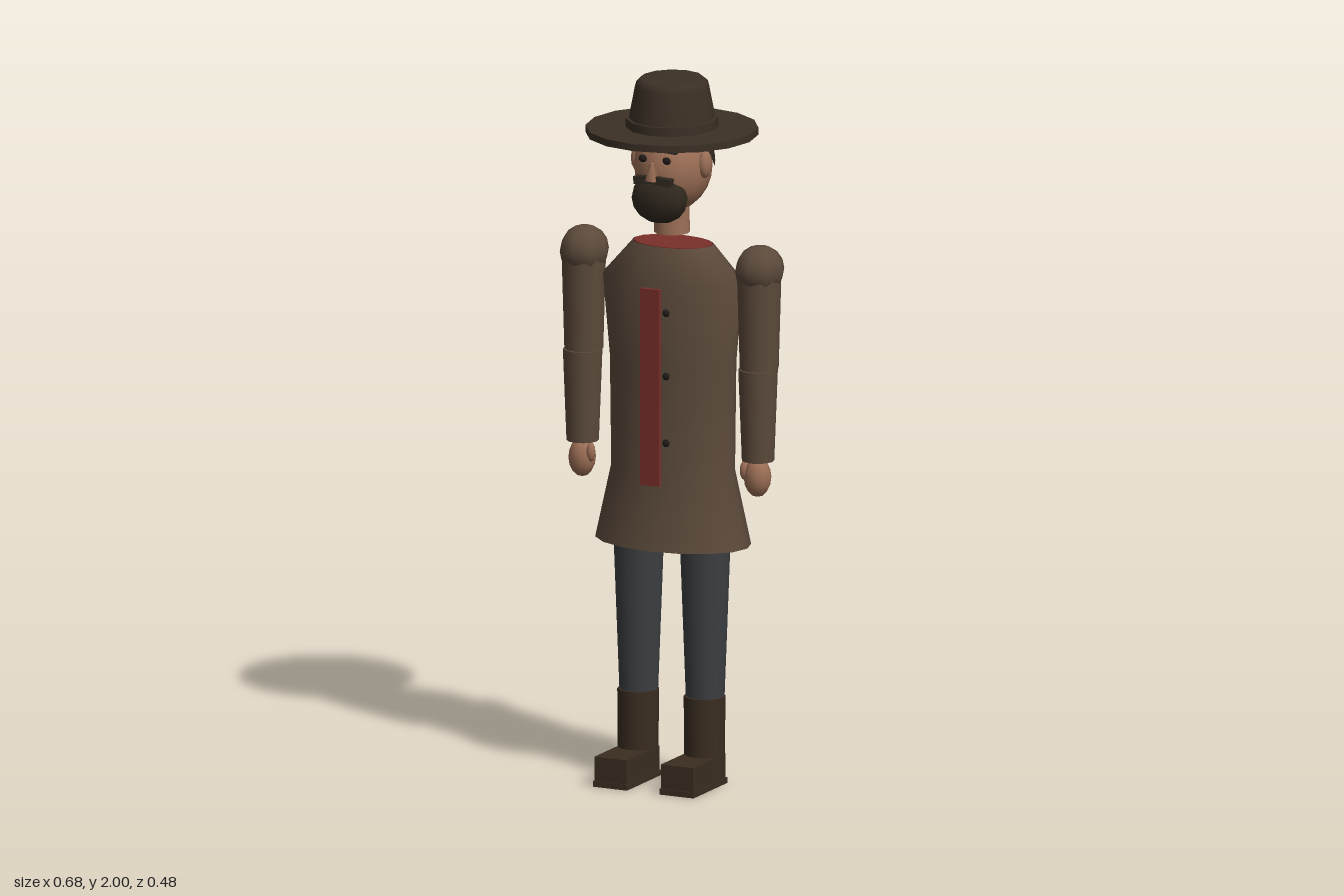
import * as THREE from 'three';

const mat = (name, color) => {
  const m = new THREE.MeshStandardMaterial({ color });
  m.name = name;
  return m;
};

export function createModel() {
  const coat = mat('coat brown', 0x5c4a3b);
  const felt = mat('hat felt', 0x3b3025);
  const leather = mat('boot leather', 0x3a2d20);
  const skin = mat('skin', 0x9c6f56);
  const hairMat = mat('hair', 0x30281e);
  const cloth = mat('trousers grey', 0x3c3f42);
  const red = mat('red cloth', 0x7a2f2b);
  const dark = mat('dark details', 0x1f1b18);
  const openCoat = mat('coat shell', 0x5c4a3b);
  openCoat.side = THREE.DoubleSide;

  const model = new THREE.Group();
  const add = (name, geo, material, x = 0, y = 0, z = 0, parent = model) => {
    const m = new THREE.Mesh(geo, material);
    m.name = name;
    m.position.set(x, y, z);
    parent.add(m);
    return m;
  };
  const ellipsoid = (rx, ry, rz, w = 12, h = 8) => new THREE.SphereGeometry(1, w, h).scale(rx, ry, rz);
  const box = (w, h, d) => new THREE.BoxGeometry(w, h, d);
  const tube = (top, bottom, h, sides = 12) => new THREE.CylinderGeometry(top, bottom, h, sides);

  // Coat: oval rings [y, half width, half depth], open at the hem
  const rings = [[0.68, 0.23, 0.152], [0.89, 0.183, 0.119], [1.2, 0.187, 0.121], [1.43, 0.21, 0.125], [1.53, 0.12, 0.08]];
  const sides = 16, pos = [], idx = [];
  rings.forEach(([y, rx, rz], r) => {
    for (let i = 0; i < sides; i++) {
      const a = (i / sides) * Math.PI * 2;
      pos.push(Math.sin(a) * rx, y, Math.cos(a) * rz - 0.007);
      if (r < rings.length - 1) {
        const p = r * sides + i, q = r * sides + (i + 1) % sides;
        idx.push(p, q, q + sides, p, q + sides, p + sides);
      }
    }
  });
  const shell = new THREE.BufferGeometry();
  shell.setAttribute('position', new THREE.Float32BufferAttribute(pos, 3));
  shell.setIndex(idx);
  shell.computeVertexNormals();
  add('coat', shell, openCoat);
  add('collar', tube(1, 1, 0.016, 16).scale(0.117, 1, 0.077), red, 0, 1.523, -0.007);

  // Front placket and buttons
  add('placket', box(0.06, 0.56, 0.012), red, 0, 1.145, 0.132);
  for (const y of [1.36, 1.18, 0.99]) add('button', ellipsoid(0.011, 0.011, 0.009, 8, 6), dark, 0.047, y, 0.13);

  // Neck and head
  add('neck', tube(0.047, 0.05, 0.12), skin, 0, 1.62, 0);
  add('head', ellipsoid(0.106, 0.13, 0.124, 16, 12), skin, 0, 1.75, -0.008);
  const hairGeo = new THREE.SphereGeometry(1, 16, 10, 0, Math.PI * 2, 0, 1.36);
  add('hair', hairGeo.rotateX(-0.66).scale(0.112, 0.136, 0.132), hairMat, 0, 1.752, -0.008);
  add('beard', ellipsoid(0.085, 0.071, 0.053), hairMat, 0, 1.671, 0.076);
  const nose = new THREE.CylinderGeometry(0.008, 0.021, 0.05, 4, 1).rotateY(Math.PI / 4);
  add('nose', nose, skin, 0, 1.755, 0.122);

  for (const s of [-1, 1]) {
    add('ear', ellipsoid(0.018, 0.04, 0.027, 8, 6), skin, s * 0.104, 1.763, 0.003);
    add('eye', ellipsoid(0.013, 0.011, 0.008, 8, 6), dark, s * 0.037, 1.787, 0.106);
    add('eyebrow', box(0.044, 0.012, 0.014), hairMat, s * 0.041, 1.813, 0.094).rotation.z = -s * 0.06;
    add('moustache', box(0.055, 0.022, 0.025), hairMat, s * 0.029, 1.73, 0.114).rotation.z = -s * 0.12;

    // Arm
    const arm = new THREE.Group();
    arm.name = s > 0 ? 'leftArm' : 'rightArm';
    arm.position.set(s * 0.272, 0, 0);
    model.add(arm);
    add('shoulder', ellipsoid(0.07, 0.07, 0.075, 8, 8), coat, 0, 1.48, 0, arm);
    add('upperSleeve', tube(0.062, 0.054, 0.28), coat, 0, 1.34, 0.003, arm);
    add('lowerSleeve', tube(0.055, 0.045, 0.26), coat, 0, 1.07, 0.01, arm);
    add('hand', ellipsoid(0.039, 0.056, 0.038, 10, 8), skin, 0, 0.893, 0.013, arm);
    add('thumb', ellipsoid(0.013, 0.028, 0.014, 8, 6), skin, -s * 0.034, 0.912, 0.027, arm);

    // Leg and boot
    const leg = new THREE.Group();
    leg.name = s > 0 ? 'leftLeg' : 'rightLeg';
    leg.position.set(s * 0.103, 0, 0);
    model.add(leg);
    add('thigh', tube(0.074, 0.061, 0.35), cloth, 0, 0.615, 0, leg);
    add('shin', tube(0.061, 0.052, 0.24), cloth, 0, 0.32, 0, leg);
    add('bootShaft', tube(0.058, 0.056, 0.225), leather, 0, 0.138, 0.004, leg);
    add('bootFoot', box(0.1, 0.07, 0.2), leather, 0, 0.05, 0.073, leg);
    add('bootSole', box(0.106, 0.016, 0.208), leather, 0, 0.008, 0.073, leg);
  }

  // Hat: wide brim, band and tapering crown
  add('hatBrim', tube(0.24, 0.24, 0.02, 16), felt, 0, 1.85, 0);
  add('hatBand', tube(1, 1, 0.03, 12).scale(0.127, 1, 0.133), felt, 0, 1.87, 0);
  const profile = [[0.12, 1.86], [0.118, 1.89], [0.102, 1.975], [0.098, 1.99], [0.085, 2], [0, 2]];
  const crown = new THREE.LatheGeometry(profile.map(p => new THREE.Vector2(...p)), 12);
  add('hatCrown', crown.scale(1, 1, 1.05), felt);

  return model;
}
